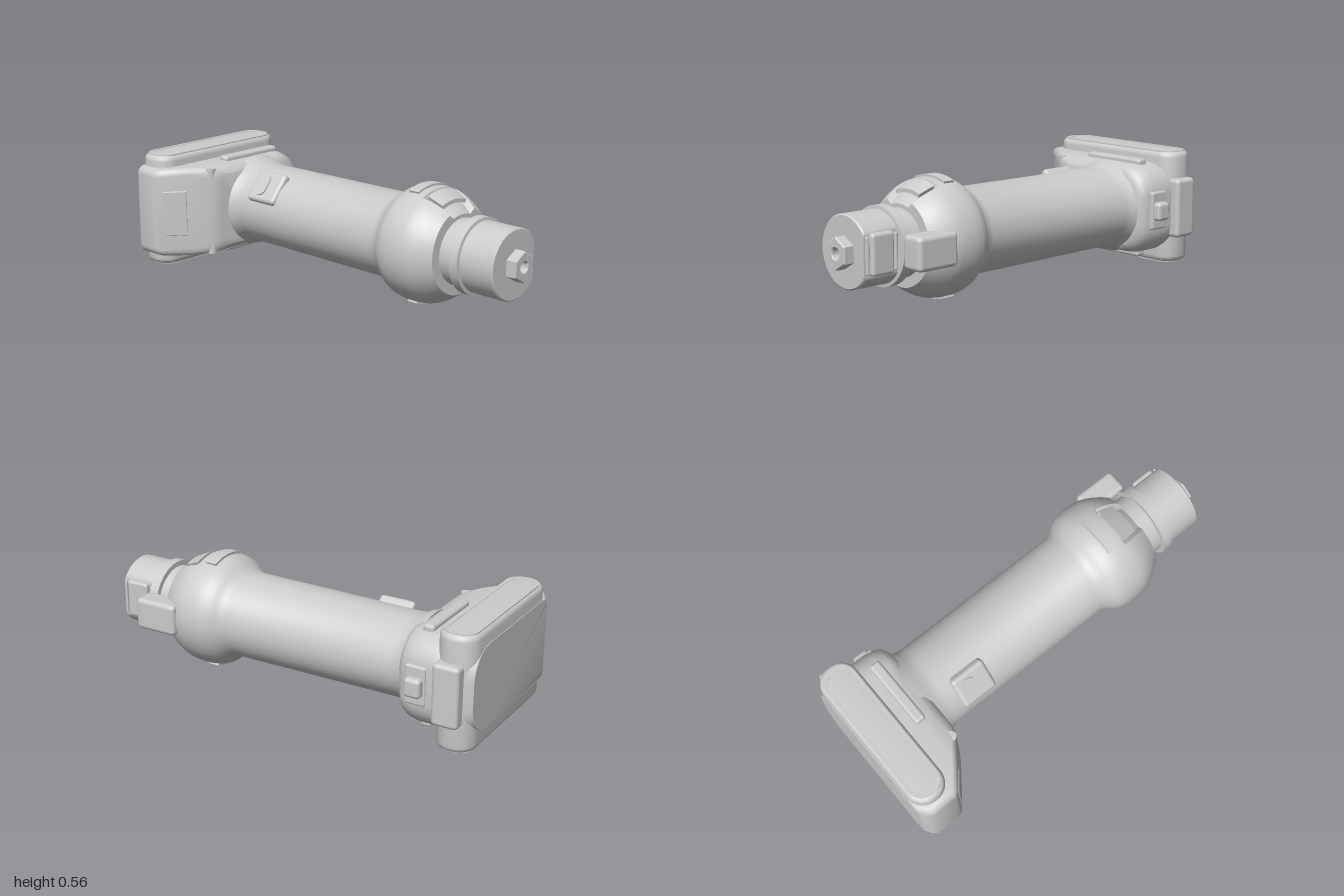
import * as THREE from 'three';
import { toCreasedNormals } from 'three/addons/utils/BufferGeometryUtils.js';
import { RoundedBoxGeometry } from 'three/addons/geometries/RoundedBoxGeometry.js';

const CX = 0.106, CY = 0.289; // centre line of the tool
const material = new THREE.MeshStandardMaterial({ color: 0xcccccc });

// Move every vertex of a geometry by a rule
function reshape(geo, rule) {
  const p = geo.attributes.position, v = new THREE.Vector3();
  for (let i = 0; i < p.count; i++) {
    v.fromBufferAttribute(p, i);
    rule(v);
    p.setXYZ(i, v.x, v.y, v.z);
  }
  geo.computeVertexNormals();
  return geo;
}

// Lathe along z from [z, radius] pairs
function turned(profile, segments = 72) {
  const pts = profile.map(([z, r]) => new THREE.Vector2(r, z));
  return new THREE.LatheGeometry(pts, segments).rotateX(Math.PI / 2);
}

// Outline of a rounded rectangle, counterclockwise, own radius on each side
function outline(x0, x1, y0, y1, rLeft, rRight, n = 8) {
  const corners = [[x1 - rRight, y0 + rRight, rRight, -0.5], [x1 - rRight, y1 - rRight, rRight, 0],
    [x0 + rLeft, y1 - rLeft, rLeft, 0.5], [x0 + rLeft, y0 + rLeft, rLeft, 1]];
  const pts = [];
  for (const [x, y, r, start] of corners)
    for (let i = 0; i <= n; i++) {
      const a = Math.PI * (start + i / n / 2);
      pts.push(new THREE.Vector2(x + r * Math.cos(a), y + r * Math.sin(a)));
    }
  return pts;
}

// Skin over outlines stacked along z, capped at both ends
function loft(sections) {
  const n = sections[0].pts.length, pos = [], idx = [];
  for (const s of sections) for (const p of s.pts) pos.push(p.x, p.y, s.z);
  for (let i = 0; i < sections.length - 1; i++)
    for (let j = 0; j < n; j++) {
      const a = i * n + j, b = i * n + (j + 1) % n;
      idx.push(a, b, a + n, b, b + n, a + n);
    }
  const last = (sections.length - 1) * n;
  for (let j = 1; j < n - 1; j++) idx.push(0, j + 1, j, last, last + j, last + j + 1);
  const geo = new THREE.BufferGeometry();
  geo.setAttribute('position', new THREE.Float32BufferAttribute(pos, 3));
  geo.setIndex(idx);
  return geo;
}

// Box bent around the centre line; slope changes its radius along z
function bentPad(halfAngle, radius, thickness, length, slope = 0) {
  return reshape(new THREE.BoxGeometry(2 * halfAngle, thickness, length, 14, 1, 1), v => {
    const a = v.x, r = radius + v.y + slope * v.z;
    v.set(r * Math.sin(a), r * Math.cos(a), v.z);
  });
}

export function createModel() {
  const model = new THREE.Group();
  const add = (name, geo, x = 0, y = 0, z = 0, crease = 0.6) => {
    const mesh = new THREE.Mesh(crease ? toCreasedNormals(geo, crease) : geo, material);
    mesh.name = name;
    mesh.position.set(x, y, z);
    model.add(mesh);
    return mesh;
  };
  const block = (name, x0, x1, y0, y1, z0, z1, r) =>
    add(name, new RoundedBoxGeometry(x1 - x0, y1 - y0, z1 - z0, 3, r),
      (x0 + x1) / 2, (y0 + y1) / 2, (z0 + z1) / 2, 0);

  // Oval grip that swells into a round head, with a pocket on top of the head
  const body = turned([[-0.68, 0], [-0.68, 0.25], [-0.64, 0.238], [-0.61, 0.221], [-0.57, 0.215],
    [0.29, 0.215], [0.325, 0.222], [0.35, 0.24], [0.375, 0.258], [0.4, 0.267], [0.44, 0.273],
    [0.49, 0.273], [0.515, 0.27], [0.525, 0.269], [0.56, 0.258], [0.6, 0.238], [0.63, 0.218],
    [0.65, 0.203], [0.65, 0.16], [0.65, 0]]);
  reshape(body, v => {
    const r = Math.hypot(v.x, v.y), a = Math.atan2(v.x, v.y);
    if (v.z > 0.52 && r > 0.18 && Math.abs(a) < 0.37) {
      v.x *= (r - 0.03) / r;
      v.y *= (r - 0.03) / r;
    }
    v.y *= 0.91 + 0.085 * THREE.MathUtils.smoothstep(v.z, 0.2, 0.42);
  });
  add('body', body, CX, CY);

  // Button in the pocket, and raised pads above and below the head
  add('headButton', bentPad(0.36, 0.241, 0.018, 0.075, -0.45), CX, CY, 0.568);
  for (const side of [0, Math.PI])
    add('headPad', bentPad(0.37, 0.274, 0.014, 0.055).rotateZ(side), CX, CY, 0.452);

  // Nose: neck, collar and chuck with a flat on its left side
  const nose = turned([[0.6, 0.155], [0.725, 0.155], [0.725, 0.18], [0.77, 0.18], [0.772, 0.165],
    [0.944, 0.165], [0.95, 0.159], [0.95, 0]]);
  add('nose', reshape(nose, v => { if (v.z > 0.771) v.x = Math.min(v.x, 0.132); }), CX, CY);
  block('chuckClip', 0.22, 0.262, 0.2, 0.385, 0.8, 0.92, 0.015);
  for (const z of [0.782, 0.935])
    block('chuckClipRib', 0.21, 0.252, 0.21, 0.375, z - 0.007, z + 0.007, 0.005);

  // Hexagonal drive with a centre bore
  const hex = new THREE.Shape();
  for (let i = 0; i < 6; i++) {
    const a = Math.PI * (i / 3 + 1 / 6);
    hex[i ? 'lineTo' : 'moveTo'](0.068 * Math.cos(a), 0.068 * Math.sin(a));
  }
  hex.holes.push(new THREE.Path().absarc(0, 0, 0.03, 0, Math.PI * 2, true));
  add('hexDrive', new THREE.ExtrudeGeometry(hex, { depth: 0.045, bevelSize: 0.005,
    bevelThickness: 0.005, bevelSegments: 1, curveSegments: 12 }), CX, CY, 0.95, 0.4);

  // Side latch beside the nose
  block('sideLatch', 0.272, 0.387, 0.213, 0.367, 0.55, 0.77, 0.022);

  // Switch housing on the upper right of the grip
  const switchGroup = new THREE.Group();
  switchGroup.name = 'gripSwitch';
  switchGroup.position.set(CX, CY, -0.43);
  switchGroup.rotation.z = THREE.MathUtils.degToRad(50);
  const housing = new THREE.Mesh(new RoundedBoxGeometry(0.165, 0.09, 0.18, 3, 0.018), material);
  housing.name = 'switchHousing';
  housing.position.y = 0.178;
  const pill = new THREE.Shape(outline(-0.055, 0.055, -0.032, 0.032, 0.03, 0.03));
  const button = new THREE.Mesh(toCreasedNormals(new THREE.ExtrudeGeometry(pill,
    { depth: 0.012, bevelEnabled: false }).rotateX(-Math.PI / 2), 0.6), material);
  button.name = 'switchButton';
  button.position.set(0, 0.218, -0.02);
  switchGroup.add(housing, button);
  model.add(switchGroup);

  // Battery mount: sloping right shoulder, rounded left end
  const mount = [[-1, -0.38, 0.36, 0.2], [-0.975, -0.415, 0.37, 0.215], [-0.95, -0.43, 0.375, 0.22],
    [-0.83, -0.43, 0.385, 0.22], [-0.81, -0.42, 0.385, 0.22], [-0.72, -0.305, 0.38, 0.222],
    [-0.675, -0.245, 0.373, 0.215], [-0.65, -0.21, 0.362, 0.203], [-0.635, -0.17, 0.342, 0.182]];
  add('batteryMount', loft(mount.map(([z, x0, x1, h]) =>
    ({ z, pts: outline(x0, x1, CY - h, CY + h, 0.04, 0.14) }))));

  // Panel on the sloping shoulder
  const panel = add('shoulderPanel', new RoundedBoxGeometry(0.115, 0.225, 0.012, 2, 0.005),
    -0.36, 0.288, -0.766, 0);
  panel.rotation.y = -0.664;

  // Side rails and screw bosses, mirrored above and below
  for (const s of [1, -1]) {
    const y = CY + s * 0.222;
    block('mountRail', -0.07, 0.28, y - 0.022, y + 0.022, -0.762, -0.708, 0.015);
    add('screwBoss', new THREE.CylinderGeometry(0.024, 0.024, 0.05, 20), -0.205, CY + s * 0.19, -0.675);
  }

  // Battery pack: pill-shaped slab with a recess in each end
  const slab = new THREE.Shape(outline(-0.365, 0.36, -0.065, 0.065, 0.06, 0.06));
  add('battery', new THREE.ExtrudeGeometry(slab, { depth: 0.494, bevelSize: 0.028,
    bevelThickness: 0.028, bevelSegments: 4 }).rotateX(-Math.PI / 2), 0, 0.014, -0.905, 0.5)
    .position.y = CY - 0.247;
  const rim = new THREE.Shape(outline(-0.372, 0.367, -0.078, 0.078, 0.07, 0.07));
  rim.holes.push(new THREE.Path(outline(-0.35, 0.345, -0.06, 0.06, 0.055, 0.055).reverse()));
  for (const y of [0.012, 0.546])
    add('batteryRim', new THREE.ExtrudeGeometry(rim, { depth: 0.02, bevelEnabled: false })
      .rotateX(-Math.PI / 2), 0, y, -0.905);

  // Release catch on the battery and lever on the mount
  block('batteryCatch', 0.35, 0.428, 0.145, 0.435, -0.957, -0.83, 0.02);
  block('leverFrame', 0.33, 0.393, 0.2, 0.385, -0.785, -0.685, 0.01);
  block('releaseLever', 0.36, 0.428, 0.245, 0.335, -0.775, -0.695, 0.018);

  return model;
}
